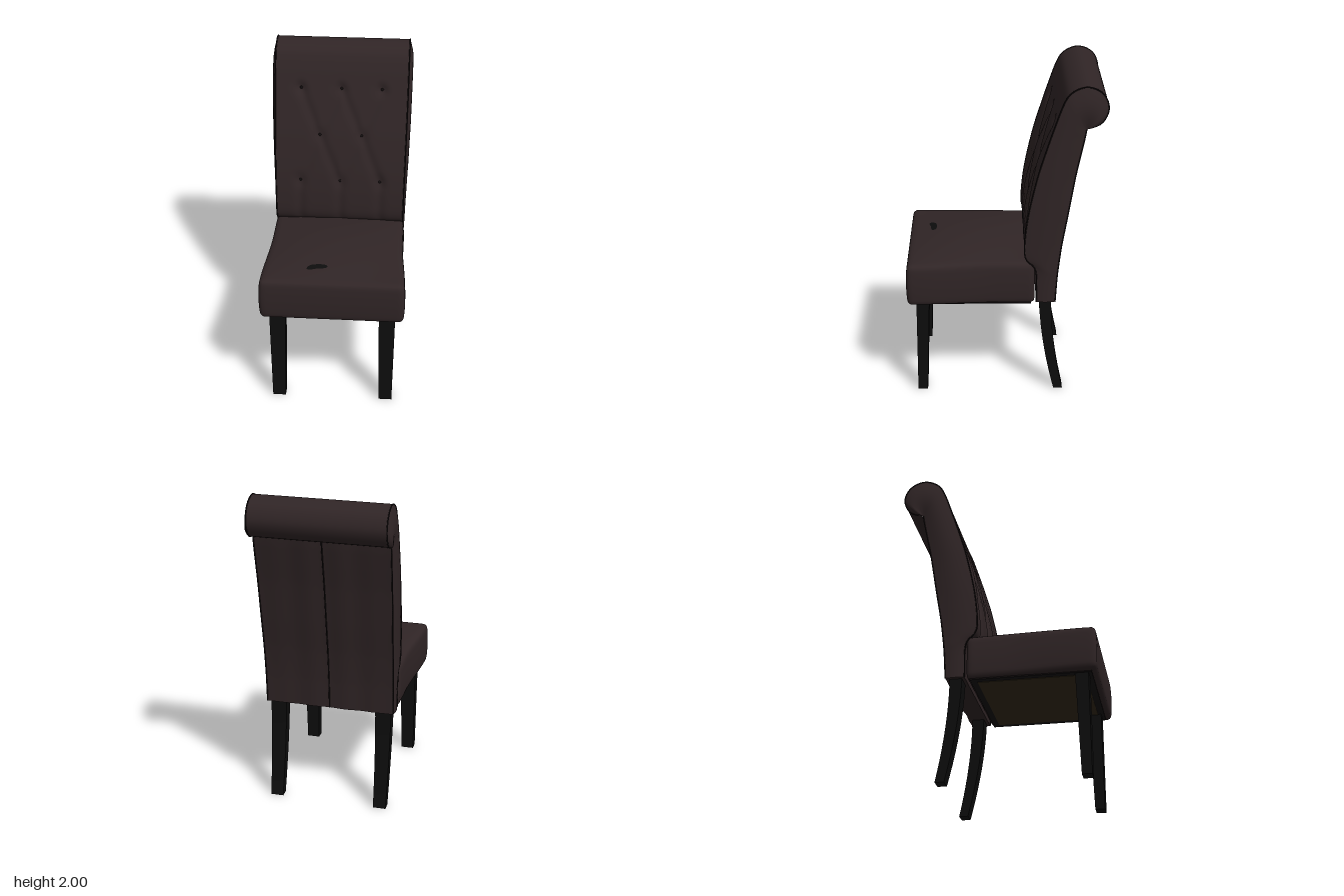
import * as THREE from 'three';
import { mergeVertices, toCreasedNormals } from 'three/addons/utils/BufferGeometryUtils.js';

const material = (name, color) => Object.assign(new THREE.MeshStandardMaterial({ color }), { name });
const { lerp, clamp, smoothstep } = THREE.MathUtils;

// Backrest stations: front z, y and rear z, y, from the base up and around the roll
const NECK = [-0.468, 1.748];
const STATIONS = [
  [-0.19, 0.63, -0.305, 0.63], [-0.185, 0.84, -0.315, 0.8], [-0.125, 0.92, -0.325, 0.9],
  [-0.118, 1.03, -0.34, 1.02], [-0.14, 1.22, -0.37, 1.2], [-0.19, 1.45, -0.41, 1.45],
  [-0.24, 1.62, -0.44, 1.6], [-0.285, 1.76, -0.46, 1.7], [-0.335, 1.9, ...NECK],
  [-0.38, 1.967, ...NECK], [-0.467, 2.0, ...NECK], [-0.555, 1.963, ...NECK],
  [-0.592, 1.875, ...NECK], [-0.555, 1.787, ...NECK], [-0.475, 1.75, ...NECK],
];
const path = (k, tension) => new THREE.CatmullRomCurve3(
  STATIONS.map((s) => new THREE.Vector3(0, s[k + 1], s[k])), false, 'catmullrom', tension);
const frontPath = path(0, 0.5);
const rearPath = path(2, 0.3);
const halfWidth = (y) => lerp(0.4, 0.41, smoothstep(y, 0.7, 1.9));

// Tufting: buttons joined by diagonal folds
const BUTTONS = [[-0.25, 1.74], [0, 1.74], [0.25, 1.74], [-0.13, 1.46], [0.13, 1.46],
  [-0.25, 1.17], [0, 1.17], [0.25, 1.17]];
const FOLDS = [[0, 3], [1, 3], [1, 4], [2, 4], [3, 5], [3, 6], [4, 6], [4, 7]]
  .map(([a, b]) => [BUTTONS[a], BUTTONS[b]]);
for (const x of [-0.25, 0, 0.25]) FOLDS.push([[x, 1.17], [x, 0.93]]);

function tuft(x, y) {
  let depth = 0;
  for (const [bx, by] of BUTTONS) depth += 0.014 * Math.exp(-((x - bx) ** 2 + (y - by) ** 2) / 0.0012);
  let fold = 0;
  for (const [[ax, ay], [bx, by]] of FOLDS) {
    const dx = bx - ax, dy = by - ay;
    const t = clamp(((x - ax) * dx + (y - ay) * dy) / (dx * dx + dy * dy), 0, 1);
    fold = Math.max(fold, Math.exp(-((x - ax - t * dx) ** 2 + (y - ay - t * dy) ** 2) / 0.0009));
  }
  return depth + 0.01 * fold;
}

// Closed cross-sections lofted up the back and around the roll
function backrestGeometry() {
  const ROWS = 98, FRONT = 60, SIDE = 8, REAR = 32;
  const count = 2 * SIDE + FRONT + REAR;
  const positions = [], index = [];
  for (let i = 0; i <= ROWS; i++) {
    const f = frontPath.getPoint(i / ROWS), b = rearPath.getPoint(i / ROWS);
    const w = halfWidth(f.y);
    const bulge = lerp(0.01, 0.024, smoothstep(f.y, 0.7, 1.6)) * Math.min(1, f.distanceTo(b) / 0.15);
    const add = (x, s, dz = 0) => positions.push(x, lerp(f.y, b.y, s), lerp(f.z, b.z, s) + dz);
    for (let j = 0; j < FRONT; j++) {
      const x = lerp(-w, w, j / FRONT);
      add(x, 0, f.z > -0.36 ? -tuft(x, f.y) : 0);
    }
    for (let j = 0; j < SIDE; j++) add(w + bulge * Math.sin(Math.PI * j / SIDE), j / SIDE);
    for (let j = 0; j < REAR; j++) {
      const x = lerp(w, -w, j / REAR);
      add(x, 1, 0.004 * Math.cos(x * 31) * (1 - (x / w) ** 2)); // soft vertical flutes
    }
    for (let j = 0; j < SIDE; j++) add(-w - bulge * Math.sin(Math.PI * j / SIDE), 1 - j / SIDE);
  }
  for (let i = 0; i < ROWS; i++) {
    for (let j = 0; j < count; j++) {
      const k = (j + 1) % count, a = i * count, c = a + count;
      index.push(a + j, a + k, c + j, a + k, c + k, c + j);
    }
  }
  const centre = positions.length / 3;
  positions.push(0, 0.63, -0.25);
  for (let j = 0; j < count; j++) index.push(centre, (j + 1) % count, j);
  const g = new THREE.BufferGeometry();
  g.setAttribute('position', new THREE.Float32BufferAttribute(positions, 3));
  g.setIndex(index);
  return toCreasedNormals(g, 0.7);
}

// Seat cushion: rounded box, wider at the front, with a crowned top
const crown = (x, z) => 0.047 * Math.max(0, 1 - ((z - 0.17) / 0.4) ** 2) * Math.max(0, 1 - (x / 0.42) ** 2);
const SEAT_TOP = 0.888;

function seatGeometry() {
  const half = new THREE.Vector3(0.405, 0.134, 0.385), r = 0.028;
  let g = new THREE.BoxGeometry(half.x * 2, half.y * 2, half.z * 2, 40, 16, 40);
  g.deleteAttribute('normal');
  g.deleteAttribute('uv');
  g = mergeVertices(g);
  const p = g.attributes.position, v = new THREE.Vector3(), core = new THREE.Vector3();
  const inner = half.clone().subScalar(r), outer = inner.clone().negate();
  for (let i = 0; i < p.count; i++) {
    v.fromBufferAttribute(p, i);
    core.copy(v).clamp(outer, inner);
    v.sub(core);
    if (v.lengthSq() > 0) v.setLength(r);
    v.add(core);
    const z = v.z + 0.205, up = v.y / half.y;
    const swell = 1 - up * up;
    const widen = 1 + 0.065 * smoothstep(z, 0.05, 0.56) + 0.02 * swell;
    const x = v.x * widen;
    const lift = up > 0 ? crown(x, z) * up : 0;
    const forward = z > 0.3 ? 0.008 * swell * (z - 0.3) / 0.29 : 0;
    p.setXYZ(i, x, v.y + SEAT_TOP - half.y + lift, z + forward);
  }
  g.computeVertexNormals();
  return g;
}

// Leg stations, from the floor up: y, centre z, width, depth
function legGeometry(stations) {
  const n = stations.length - 1;
  const g = new THREE.BoxGeometry(1, n, 1, 1, n, 1);
  const p = g.attributes.position;
  for (let i = 0; i < p.count; i++) {
    const [y, z, w, d] = stations[Math.round(p.getY(i) + n / 2)];
    p.setXYZ(i, p.getX(i) * w, y, z + p.getZ(i) * d);
  }
  return toCreasedNormals(g, 0.5);
}

export function createModel() {
  const model = new THREE.Group();
  model.name = 'diningChair';
  const leather = material('brown leather', 0x302526);
  const seam = material('dark seam', 0x140f10);
  const wood = material('black wood', 0x0d0d0d);
  const lining = material('olive lining', 0x352b1a);
  const add = (name, geometry, mat, x = 0, y = 0, z = 0) => {
    const m = new THREE.Mesh(geometry, mat);
    m.name = name;
    m.position.set(x, y, z);
    model.add(m);
    return m;
  };

  add('backrest', backrestGeometry(), leather);
  add('seatCushion', seatGeometry(), leather);

  // Piping along both sides of the back, and the rear centre seam
  const piping = (name, curve, last, x) => {
    const points = [];
    for (let i = 0; i <= 40; i++) {
      const q = curve.getPoint(last * i / 40);
      points.push(new THREE.Vector3(x * halfWidth(q.y), q.y, q.z));
    }
    add(name, new THREE.TubeGeometry(new THREE.CatmullRomCurve3(points), 80, 0.004, 6), seam);
  };
  for (const side of [-1, 1]) {
    piping('frontPiping', frontPath, 0.98, side);
    piping('rearPiping', rearPath, 8 / 14, side);
  }
  piping('rearSeam', rearPath, 8 / 14, 0);

  // Tufting buttons, set into the dimples
  for (const [x, y] of BUTTONS) {
    let t = 0.2;
    while (frontPath.getPoint(t).y < y) t += 0.002;
    const z = frontPath.getPoint(t).z - tuft(x, y);
    add('button', new THREE.SphereGeometry(0.01, 12, 8), seam, x, y, z + 0.001).scale.z = 0.6;
  }

  // Dark worn patch on the seat
  const patch = new THREE.Shape();
  patch.setFromPoints(new THREE.SplineCurve([[-0.16, 0.465], [-0.14, 0.435], [-0.09, 0.425], [-0.045, 0.43],
    [-0.035, 0.45], [-0.065, 0.462], [-0.1, 0.465], [-0.14, 0.475], [-0.16, 0.465]]
    .map(([x, z]) => new THREE.Vector2(x, -z))).getPoints(32));
  const patchGeometry = new THREE.ShapeGeometry(patch).rotateX(-Math.PI / 2);
  const pp = patchGeometry.attributes.position;
  for (let i = 0; i < pp.count; i++) pp.setY(i, SEAT_TOP + crown(pp.getX(i), pp.getZ(i)) + 0.003);
  patchGeometry.computeVertexNormals();
  add('seatPatch', patchGeometry, wood);

  // Underside frame and lining
  add('undersideFrame', new THREE.BoxGeometry(0.78, 0.008, 0.72), seam, 0, 0.618, 0.2);
  add('undersideLining', new THREE.BoxGeometry(0.7, 0.008, 0.64), lining, 0, 0.615, 0.2);

  // Straight tapered front legs and swept rear legs
  const frontLeg = legGeometry([[0, 0.515, 0.08, 0.06], [0.66, 0.5, 0.1, 0.08]]);
  const rearStations = [];
  for (let i = 0; i <= 10; i++) {
    const t = i / 10;
    rearStations.push([0.66 * t, -0.245 - 0.088 * (1 - t) ** 1.8, lerp(0.08, 0.1, t), lerp(0.055, 0.075, t)]);
  }
  const rearLeg = legGeometry(rearStations);
  for (const side of [-1, 1]) {
    add('frontLeg', frontLeg, wood, side * 0.333);
    add('rearLeg', rearLeg, wood, side * 0.333);
  }
  return model;
}
